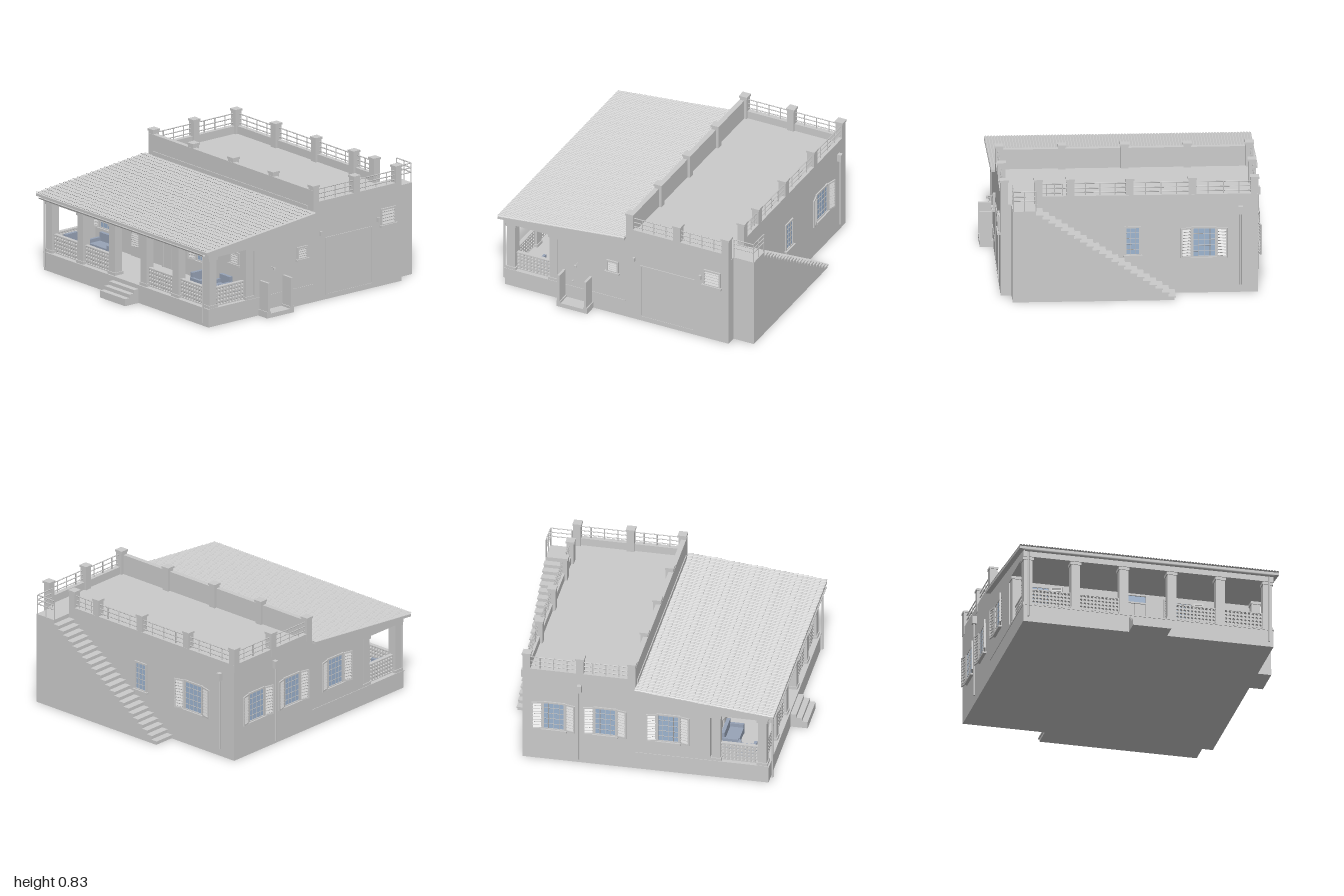
import * as THREE from 'three';

const grey = new THREE.MeshStandardMaterial({ color: 0xcccccc });
const thin = new THREE.MeshStandardMaterial({ color: 0xcccccc, side: THREE.DoubleSide });
const glass = new THREE.MeshStandardMaterial({ color: 0x9db4d0 });
const fabric = new THREE.MeshStandardMaterial({ color: 0x98a4b8 });

const X0 = -0.91, X1 = 0.855, ZB = -0.84, ZM = -0.05, ZW = 0.47, ZF = 0.88;
const FLOOR = 0.13, DECK = 0.655, EAVE = 0.49;
const slope = z => 0.64 - (z - ZM) * 0.1;

function add(parent, name, geo, mat = grey) {
  const m = new THREE.Mesh(geo, mat);
  m.name = name;
  parent.add(m);
  return m;
}
// box from min and max corners
function box(parent, name, x0, x1, y0, y1, z0, z1, mat) {
  const g = new THREE.BoxGeometry(x1 - x0, y1 - y0, z1 - z0);
  g.translate((x0 + x1) / 2, (y0 + y1) / 2, (z0 + z1) / 2);
  return add(parent, name, g, mat);
}
function polygon(pts) { return new THREE.Shape(pts.map(p => new THREE.Vector2(...p))); }
// (z, y) profile extruded along x
function prismX(parent, name, pts, x0, x1) {
  const g = new THREE.ExtrudeGeometry(polygon(pts), { depth: x1 - x0, bevelEnabled: false });
  g.rotateY(-Math.PI / 2).translate(x1, 0, 0);
  return add(parent, name, g);
}
function rod(parent, name, a, b, r = 0.004, sides = 6) {
  const p = new THREE.Vector3(...a), q = new THREE.Vector3(...b);
  const m = add(parent, name, new THREE.CylinderGeometry(r, r, p.distanceTo(q), sides));
  m.position.copy(p).add(q).multiplyScalar(0.5);
  m.quaternion.setFromUnitVectors(new THREE.Vector3(0, 1, 0), q.sub(p).normalize());
  return m;
}
function group(parent, name, x = 0, y = 0, z = 0, ry = 0) {
  const g = new THREE.Group();
  g.name = name;
  g.position.set(x, y, z);
  g.rotation.y = ry;
  parent.add(g);
  return g;
}
function louvers(parent, x0, x1, y0, y1, z, n) {
  for (let i = 0; i < n; i++) {
    const s = add(parent, 'slat', new THREE.BoxGeometry(x1 - x0, 0.7 * (y1 - y0) / n, 0.004));
    s.position.set((x0 + x1) / 2, y0 + (i + 0.5) * (y1 - y0) / n, z);
    s.rotation.x = -0.6;
  }
}
function frame(parent, w, h, t, z0, z1) {
  for (const s of [-1, 1]) {
    box(parent, 'frameSide', s * w / 2 - t / 2, s * w / 2 + t / 2, -h / 2, h / 2, z0, z1);
    box(parent, 'frameRail', -w / 2 - t / 2, w / 2 + t / 2, s * h / 2 - t / 2, s * h / 2 + t / 2, z0, z1);
  }
}
// glazed window with sill, bars and optional open shutters, facing local +z
function windowUnit(parent, x, y, z, ry, w, h, shutters = true, cols = 4) {
  const g = group(parent, 'window', x, y, z, ry);
  box(g, 'pane', -w / 2, w / 2, -h / 2, h / 2, -0.01, 0.003, glass);
  frame(g, w, h, 0.012, 0, 0.01);
  box(g, 'sill', -w / 2 - 0.015, w / 2 + 0.015, -h / 2 - 0.014, -h / 2, 0, 0.022);
  for (let i = 1; i < cols; i++) rod(g, 'bar', [-w / 2 + i * w / cols, -h / 2, 0.006], [-w / 2 + i * w / cols, h / 2, 0.006], 0.0025, 4);
  for (let i = 1; i < 5; i++) rod(g, 'bar', [-w / 2, -h / 2 + i * h / 5, 0.006], [w / 2, -h / 2 + i * h / 5, 0.006], 0.0025, 4);
  if (!shutters) return;
  for (const s of [-1, 1]) {
    const leaf = group(g, 'shutter', s * (w / 2 + 0.008), 0, 0.006, -s * 0.25);
    const inner = group(leaf, 'shutterLeaf', s * w * 0.23);
    frame(inner, w * 0.42, h * 0.98, 0.01, -0.003, 0.007);
    louvers(inner, -w * 0.2, w * 0.2, -h * 0.46, h * 0.46, 0.002, 9);
  }
}
function ventWindow(parent, x, y, z, ry, w, h) {
  const g = group(parent, 'louveredVent', x, y, z, ry);
  frame(g, w, h, 0.012, 0, 0.012);
  louvers(g, -w / 2, w / 2, -h / 2, h / 2, 0.006, 5);
  box(g, 'sill', -w / 2 - 0.015, w / 2 + 0.015, -h / 2 - 0.015, -h / 2, 0, 0.022);
}
// pierced screen with a grid of round holes, centred on x
function screen(parent, x, z, ry, w) {
  const h = 0.13, rows = 5, cols = Math.round(w / 0.026);
  const s = polygon([[-w / 2, 0], [w / 2, 0], [w / 2, h], [-w / 2, h]]);
  for (let i = 0; i < cols; i++) for (let j = 0; j < rows; j++) {
    const p = new THREE.Path();
    p.absarc(-w / 2 + (i + 0.5) * w / cols, (j + 0.5) * h / rows, 0.0085, 0, Math.PI * 2, true);
    s.holes.push(p);
  }
  const geo = new THREE.ExtrudeGeometry(s, { depth: 0.02, bevelEnabled: false, curveSegments: 8 });
  const g = group(parent, 'piercedScreen', x, FLOOR, z, ry);
  add(g, 'screenPanel', geo.translate(0, 0, -0.01));
  box(g, 'screenCap', -w / 2, w / 2, h - 0.004, h + 0.004, -0.014, 0.014);
}
function column(parent, x, z) {
  const c = group(parent, 'porchColumn', x, 0, z);
  box(c, 'shaft', -0.031, 0.031, FLOOR, EAVE, -0.031, 0.031);
  box(c, 'plinth', -0.038, 0.038, FLOOR, 0.15, -0.038, 0.038);
  box(c, 'capital', -0.038, 0.038, 0.47, EAVE, -0.038, 0.038);
}
function post(parent, x, z) {
  const p = group(parent, 'parapetPost', x, 0, z);
  box(p, 'shaft', -0.026, 0.026, DECK, 0.82, -0.026, 0.026);
  box(p, 'cap', -0.031, 0.031, 0.815, 0.83, -0.031, 0.031);
}
function downpipe(parent, x, z, y0, y1, hopper) {
  const p = group(parent, 'downpipe', x, 0, z);
  rod(p, 'pipe', [0, y0, 0], [0, y1, 0], 0.007, 8);
  if (hopper) box(p, 'hopper', -0.015, 0.015, y1 - 0.01, y1 + 0.045, -0.015, 0.015);
}
// overlapping courses of rounded tiles
function tileGeometry(x0, x1, z0, z1, rows, cols) {
  const pos = [], idx = [], n = cols * 6;
  for (let r = 0; r < rows; r++) for (let e = 0; e < 2; e++) for (let i = 0; i <= n; i++) {
    const z = z0 + (z1 - z0) * (r + e) / rows;
    pos.push(x0 + (x1 - x0) * i / n, slope(z) + 0.004 + 0.006 * e + 0.007 * Math.abs(Math.sin(Math.PI * i / 6)), z);
    if (e && i < n) {
      const b = pos.length / 3 - 1, a = b - n - 1;
      idx.push(a, b, a + 1, b, b + 1, a + 1);
    }
  }
  const g = new THREE.BufferGeometry();
  g.setAttribute('position', new THREE.Float32BufferAttribute(pos, 3));
  g.setIndex(idx);
  g.computeVertexNormals();
  return g;
}
function armchair(parent, x, z, ry, w = 0.11) {
  const c = group(parent, 'porchSeat', x, FLOOR, z, ry);
  box(c, 'seatCushion', -w / 2, w / 2, 0.01, 0.055, -0.05, 0.05, fabric);
  box(c, 'backrest', -w / 2, w / 2, 0.01, 0.115, -0.07, -0.045, fabric);
  for (const s of [-1, 1]) box(c, 'armrest', s * w / 2 - 0.01, s * w / 2 + 0.01, 0, 0.08, -0.06, 0.05, fabric);
}

export function createModel() {
  const house = new THREE.Group();
  house.name = 'house';

  // Walls and plinth
  box(house, 'plinth', X0, X1, 0, FLOOR, ZB, ZF);
  box(house, 'plinthEdge', X0 - 0.004, X1 + 0.004, FLOOR - 0.008, FLOOR, ZM, ZF + 0.004);
  box(house, 'rearBlock', X0, X1, FLOOR, DECK, ZB, ZM);
  box(house, 'frontBlock', X0, X1, FLOOR, EAVE, ZM, ZW);

  // Sloping porch roof
  prismX(house, 'roofGable', [[ZM, EAVE], [ZF, EAVE], [ZF, slope(ZF) - 0.01], [ZM, slope(ZM) - 0.01]], X0, X1);
  prismX(house, 'roofSlab', [[ZM, slope(ZM) - 0.015], [0.92, slope(0.92) - 0.015], [0.92, slope(0.92) + 0.003], [ZM, slope(ZM) + 0.003]], -0.945, 0.885);
  add(house, 'roofTiles', tileGeometry(-0.945, 0.885, ZM, 0.922, 24, 92), thin);
  const gutter = add(house, 'gutter', new THREE.CylinderGeometry(0.014, 0.014, 1.76, 10, 1, true, -Math.PI / 2, Math.PI), thin);
  gutter.rotation.set(0, 0, Math.PI / 2);
  gutter.rotation.order = 'XYZ';
  gutter.rotation.x = Math.PI / 2;
  gutter.position.set(-0.03, 0.527, 0.915);
  for (const x of [-0.88, 0.82]) downpipe(house, x, 0.9, 0.03, 0.52, false);
  downpipe(house, -0.928, -0.44, 0.03, 0.58, true);
  downpipe(house, -0.79, -0.858, 0.06, 0.58, true);

  // Porch columns and pierced screens
  const cols = [-0.872, -0.537, -0.196, 0.143, 0.485, 0.817];
  cols.forEach((x, i) => {
    column(house, x, 0.835);
    if (i < 5 && i !== 2) screen(house, (x + cols[i + 1]) / 2, 0.835, 0, cols[i + 1] - x - 0.062);
  });
  for (const x of [cols[0], cols[5]]) {
    column(house, x, 0.51);
    screen(house, x, 0.672, Math.PI / 2, 0.26);
  }
  armchair(house, -0.63, 0.58, 0, 0.2);
  armchair(house, -0.78, 0.7, Math.PI / 2);
  armchair(house, 0.6, 0.57, 0);
  armchair(house, 0.74, 0.6, -Math.PI / 2);
  armchair(house, 0.46, 0.6, Math.PI / 2);

  // Front steps
  [[0.05, 1], [0.075, 0.96], [0.1, 0.92]].forEach(([y, z]) => box(house, 'frontStep', -0.165, 0.105, 0, y, ZF, z));

  // Porch wall openings
  windowUnit(house, -0.71, 0.357, ZW, 0, 0.17, 0.21);
  windowUnit(house, 0.315, 0.357, ZW, 0, 0.14, 0.19);
  ventWindow(house, 0.65, 0.37, ZW, 0, 0.09, 0.08);
  const door = group(house, 'frontDoor', -0.027, 0, ZW);
  for (const s of [-1, 1]) box(door, 'doorLeaf', s * 0.041 - 0.038, s * 0.041 + 0.038, FLOOR, 0.41, 0, 0.01);
  box(door, 'transom', -0.08, 0.08, 0.422, 0.47, 0, 0.006, glass);
  for (const x of [-0.086, 0.086]) box(door, 'jamb', x - 0.006, x + 0.006, FLOOR, 0.476, 0, 0.016);
  for (const y of [0.416, 0.473]) box(door, 'lintel', -0.09, 0.09, y - 0.005, y + 0.005, 0, 0.016);
  const side = group(house, 'shutteredDoor', -0.365, 0, ZW);
  box(side, 'doorLeaf', 0, 0.09, FLOOR, 0.435, 0, 0.01);
  box(side, 'doorLeaf', -0.095, -0.003, FLOOR, 0.435, 0, 0.008);
  louvers(side, -0.085, -0.013, 0.2, 0.415, 0.01, 14);

  // Left and back windows
  for (const z of [-0.62, -0.26, 0.18]) windowUnit(house, X0, 0.35, z, -Math.PI / 2, 0.15, 0.21);
  windowUnit(house, -0.54, 0.365, ZB, Math.PI, 0.16, 0.21);
  windowUnit(house, -0.05, 0.38, ZB, Math.PI, 0.1, 0.2, false, 3);

  // Garage door, vents and wall lamps
  const garage = group(house, 'garageDoor', X1, 0.237, -0.37, Math.PI / 2);
  frame(garage, 0.41, 0.405, 0.008, 0, 0.006);
  box(garage, 'doorPanel', -0.2, 0.2, -0.2, 0.2, 0, 0.003);
  ventWindow(house, X1, 0.375, 0.05, Math.PI / 2, 0.08, 0.08);
  ventWindow(house, X1, 0.49, -0.715, Math.PI / 2, 0.12, 0.11);
  for (const z of [-0.115, -0.625]) box(house, 'wallLamp', X1, X1 + 0.018, 0.465, 0.495, z - 0.008, z + 0.008);

  // Outdoor shower between two low walls
  box(house, 'showerFloor', X1, 0.95, 0, 0.03, 0.2, 0.43);
  for (const z of [0.42, 0.215]) {
    box(house, 'showerWall', X1 + 0.005, 0.95, 0, 0.25, z - 0.009, z + 0.009);
    box(house, 'showerWallFoot', X1, 0.95, 0, 0.045, z - 0.016, z + 0.016);
  }
  rod(house, 'showerArm', [X1, 0.325, 0.32], [0.895, 0.325, 0.32]);
  rod(house, 'showerHead', [0.893, 0.327, 0.32], [0.893, 0.312, 0.32], 0.009, 10);
  rod(house, 'showerTap', [X1, 0.175, 0.355], [0.875, 0.175, 0.355], 0.007, 8);

  // Parapets: solid at the front, low with rails elsewhere
  box(house, 'frontParapet', X0, X1, DECK, 0.797, ZM - 0.035, ZM);
  box(house, 'flashing', -0.86, 0.8, 0.64, 0.68, ZM, ZM + 0.006);
  box(house, 'backParapet', X0, 0.595, DECK, 0.71, ZB, ZB + 0.035);
  for (const x of [X0, X1 - 0.035]) box(house, 'sideParapet', x, x + 0.035, DECK, 0.71, ZB, ZM);
  const backX = [-0.887, -0.46, -0.03, 0.375, 0.595, 0.83], sideZ = [-0.078, -0.44, -0.813];
  for (const x of [-0.887, -0.46, -0.03, 0.4, 0.83]) post(house, x, sideZ[0]);
  for (const x of backX) post(house, x, sideZ[2]);
  for (const x of [-0.887, 0.83]) post(house, x, sideZ[1]);
  function railing(a, b, base, uprights) {
    const g = group(house, 'railing');
    const at = (t, y) => [a[0] + (b[0] - a[0]) * t, y, a[1] + (b[1] - a[1]) * t];
    for (const y of [0.73, 0.762, 0.795]) rod(g, 'rail', at(0, y), at(1, y));
    for (let i = 0; i <= uprights; i++) rod(g, 'baluster', at(i / uprights, base), at(i / uprights, 0.795));
  }
  for (let i = 0; i < 4; i++) railing([backX[i], -0.822], [backX[i + 1], -0.822], 0.7, 4);
  for (const x of [-0.893, 0.838]) for (let i = 0; i < 2; i++) railing([x, sideZ[i]], [x, sideZ[i + 1]], 0.7, 4);

  // Back staircase on a solid base, with railed landing
  const n = 22, sx = -0.33, tx = 0.62, run = (tx - sx) / n, rise = DECK / (n + 1);
  const pts = [[sx, 0], [0.78, 0], [0.78, DECK], [tx, DECK]];
  for (let i = n; i > 0; i--) pts.push([sx + i * run, i * rise - 0.01], [sx + (i - 1) * run, i * rise - 0.01]);
  const stairGeo = new THREE.ExtrudeGeometry(polygon(pts), { depth: 0.155, bevelEnabled: false });
  add(house, 'stairBase', stairGeo.translate(0, 0, -0.995));
  for (let i = 0; i < n; i++) box(house, 'stairTread', sx + i * run - 0.008, sx + (i + 1) * run, (i + 1) * rise - 0.01, (i + 1) * rise, -1, ZB);
  railing([0.775, ZB], [0.775, -0.99], DECK, 1);
  railing([0.775, -0.99], [tx, -0.99], DECK, 2);
  return house;
}
